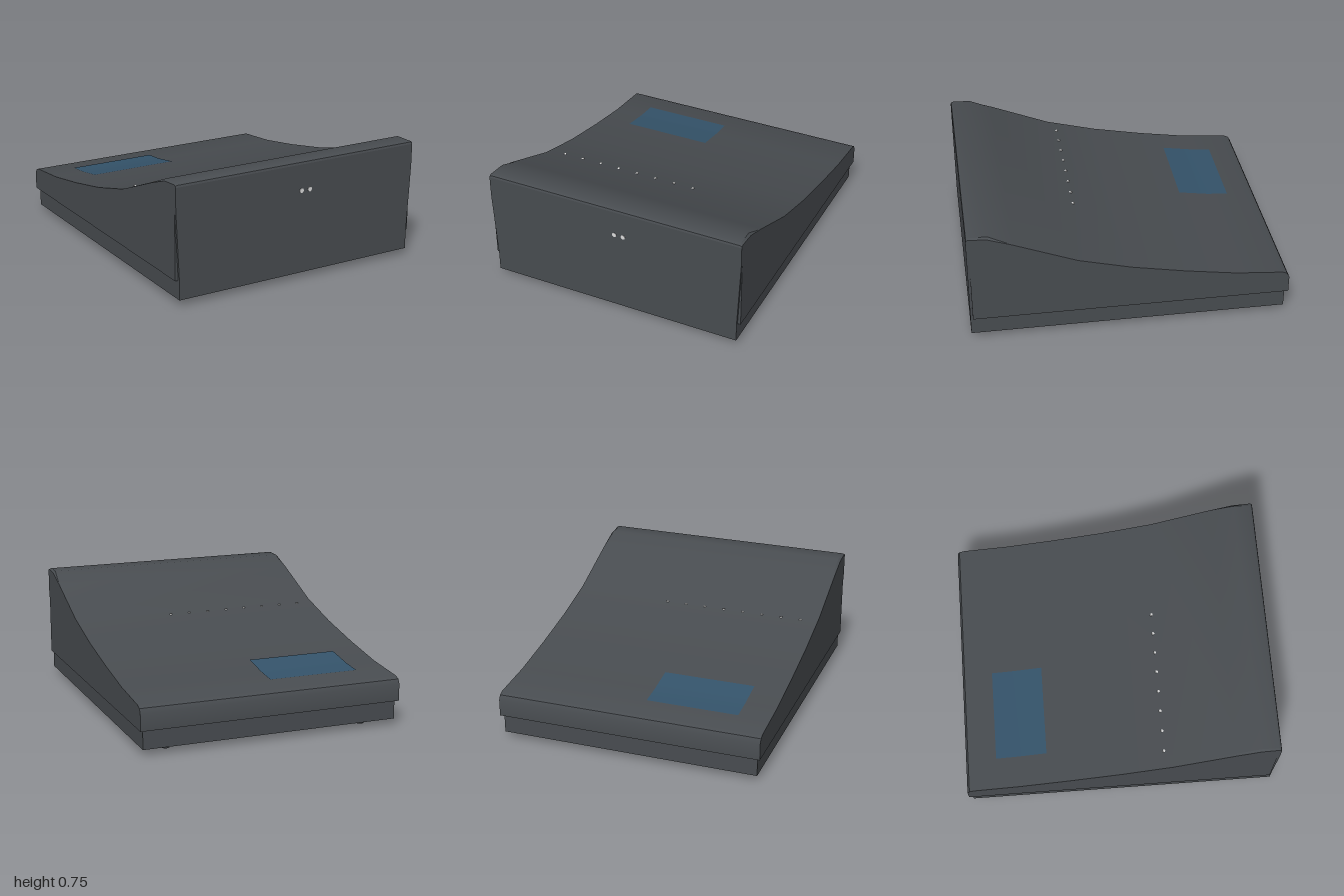
import * as THREE from 'three';
import { toCreasedNormals } from 'three/addons/utils/BufferGeometryUtils.js';

// Side profile of the shell as [z, y, drop at the outer edge], front bottom to back bottom
const PROFILE = [
  [0.985, 0.16, 0], [0.985, 0.735, 0], [1, 0.735, 0], [0.996, 0.748, 0.004], [0.983, 0.755, 0.005],
  [0.87, 0.755, 0.014], [0.72, 0.692, 0.003], [0.33, 0.535, 0], [0, 0.45, 0], [-0.34, 0.385, 0],
  [-0.66, 0.335, 0], [-0.955, 0.31, 0], [-0.985, 0.297, 0], [-1, 0.268, 0], [-1, 0.16, 0],
];

// Height of the sloping top at a given z
function heightAt(z) {
  for (let i = 4; i < PROFILE.length - 2; i++) {
    const [z0, y0] = PROFILE[i], [z1, y1] = PROFILE[i + 1];
    if (z <= z0 && z >= z1) return y0 + ((z0 - z) / (z0 - z1)) * (y1 - y0);
  }
  return 0.31;
}

// Loft the profile across x, dropping the front corners at both outer edges
function shellGeometry() {
  const sections = [[-0.85, 1], [-0.836, 0], [0.836, 0], [0.85, 1]].map(([x, k]) =>
    PROFILE.map(([z, y, drop]) => [x, y - drop * k, z]));
  const n = PROFILE.length;
  const pos = [];
  for (let s = 0; s < sections.length - 1; s++) {
    for (let i = 0; i < n; i++) {
      const j = (i + 1) % n;
      const a = sections[s][i], b = sections[s + 1][i], c = sections[s + 1][j], d = sections[s][j];
      pos.push(...a, ...b, ...c, ...a, ...c, ...d);
    }
  }
  // Side walls
  for (const side of [0, 3]) {
    const ring = sections[side];
    const flat = ring.map((p) => new THREE.Vector2(p[2], p[1]));
    for (const [a, b, c] of THREE.ShapeUtils.triangulateShape(flat, [])) {
      const ccw = THREE.ShapeUtils.area([flat[a], flat[b], flat[c]]) > 0;
      const keep = ccw === (side === 0);
      pos.push(...ring[a], ...ring[keep ? b : c], ...ring[keep ? c : b]);
    }
  }
  const geo = new THREE.BufferGeometry();
  geo.setAttribute('position', new THREE.Float32BufferAttribute(pos, 3));
  return toCreasedNormals(geo, 0.55);
}

export function createModel() {
  const model = new THREE.Group();
  const material = (name, color) => {
    const m = new THREE.MeshStandardMaterial({ color });
    m.name = name;
    return m;
  };
  const casing = material('charcoal casing', 0x484c50);
  const footMat = material('dark rubber', 0x3e4145);
  const blue = material('blue display', 0x34536a);
  const white = material('white marks', 0xdcdcdc);

  const add = (name, geo, mat, x = 0, y = 0, z = 0) => {
    const mesh = new THREE.Mesh(geo, mat);
    mesh.name = name;
    mesh.position.set(x, y, z);
    model.add(mesh);
    return mesh;
  };

  add('upperShell', shellGeometry(), casing);
  add('base', new THREE.BoxGeometry(1.66, 0.122, 1.965), casing, 0, 0.101, 0.0025);

  // Front panel widens towards the top
  const outline = new THREE.Shape([
    [-0.83, 0.04], [0.83, 0.04], [0.83, 0.16], [0.85, 0.6], [0.85, 0.735],
    [-0.85, 0.735], [-0.85, 0.6], [-0.83, 0.16],
  ].map(([x, y]) => new THREE.Vector2(x, y)));
  add('frontPanel', new THREE.ExtrudeGeometry(outline, { depth: 0.015, bevelEnabled: false }),
    casing, 0, 0, 0.985);

  // Tapered feet
  const footGeo = new THREE.CylinderGeometry(0.037, 0.025, 0.042, 16);
  for (const x of [-0.65, 0.65]) {
    for (const z of [0.87, -0.865]) add('foot', footGeo, footMat, x, 0.021, z);
  }

  // Display that follows the slope of the top
  const display = new THREE.PlaneGeometry(0.59, 0.33, 1, 7);
  display.rotateX(-Math.PI / 2);
  display.translate(-0.355, 0, -0.635);
  const p = display.attributes.position;
  for (let i = 0; i < p.count; i++) p.setY(i, heightAt(p.getZ(i)) + 0.004);
  display.computeVertexNormals();
  add('display', display, blue);

  // Row of indicator lights on the slope
  const lightGeo = new THREE.CylinderGeometry(0.009, 0.009, 0.008, 8);
  for (let i = 0; i < 8; i++) {
    const light = add('indicatorLight', lightGeo, white, -0.735 + i * 0.1336, heightAt(0.28) + 0.001, 0.28);
    light.rotation.x = 0.25;
  }

  // Two marks on the front panel
  const markGeo = new THREE.CylinderGeometry(0.015, 0.015, 0.006, 8);
  markGeo.rotateX(Math.PI / 2);
  for (const x of [0.017, 0.076]) add('frontMark', markGeo, white, x, 0.57, 1);

  return model;
}
